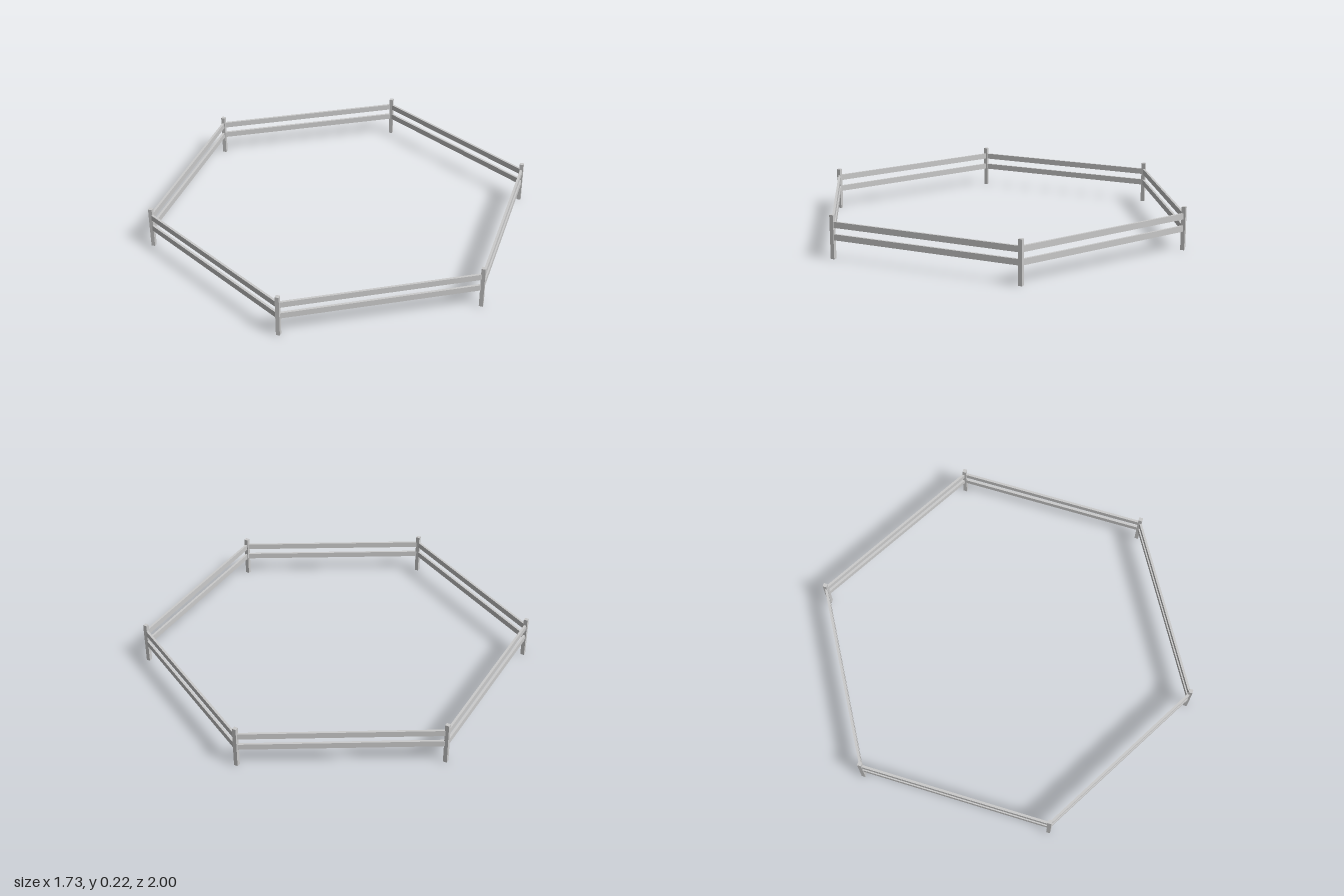
import * as THREE from 'three';

const RADIUS = 0.99, POST_HEIGHT = 0.22, POST_WIDTH = 0.02;
const RAIL_HEIGHT = 0.03, RAIL_DEPTH = 0.012;
const SIDES = 6;

export function createModel() {
  const model = new THREE.Group();
  model.name = 'hexagonalFence';
  const material = new THREE.MeshStandardMaterial({ color: 0xcccccc });

  const postGeometry = new THREE.BoxGeometry(POST_WIDTH, POST_HEIGHT, POST_WIDTH);
  // side of a regular hexagon equals its radius
  const railGeometry = new THREE.BoxGeometry(RADIUS, RAIL_HEIGHT, RAIL_DEPTH);

  for (let i = 0; i < SIDES; i++) {
    const angle = (i / SIDES) * Math.PI * 2;

    // square corner post, all posts aligned the same way
    const post = new THREE.Mesh(postGeometry, material);
    post.name = `post${i + 1}`;
    post.position.set(Math.sin(angle) * RADIUS, POST_HEIGHT / 2, Math.cos(angle) * RADIUS);
    model.add(post);

    // lower and upper rail to the next post
    const side = new THREE.Group();
    side.name = `railPair${i + 1}`;
    side.rotation.y = angle + Math.PI / SIDES;
    [['lowerRail', 0.11], ['upperRail', 0.172]].forEach(([name, y]) => {
      const rail = new THREE.Mesh(railGeometry, material);
      rail.name = name;
      rail.position.set(0, y, RADIUS * Math.cos(Math.PI / SIDES));
      side.add(rail);
    });
    model.add(side);
  }
  return model;
}
